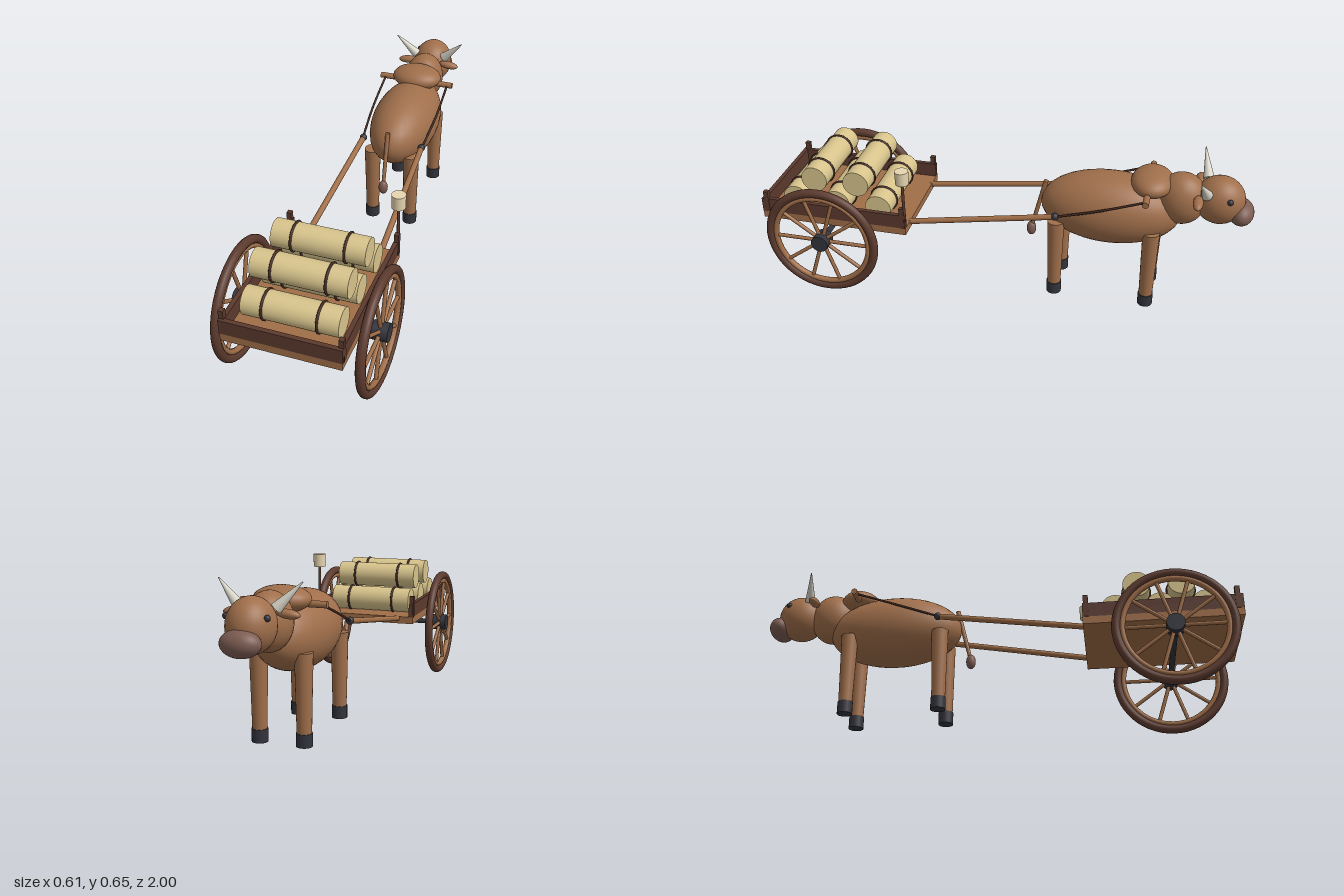
import * as THREE from 'three';

const mat = (name, color, extra = {}) => {
  const m = new THREE.MeshStandardMaterial({ color, ...extra });
  m.name = name;
  return m;
};

export function createModel() {
  const hide = mat('hide', 0xa06f4b);
  const wood = mat('wood', 0xa06e48);
  const darkWood = mat('darkWood', 0x5c3a2e);
  const iron = mat('iron', 0x33343c);
  const straw = mat('straw', 0xd8c48c);
  const lampShade = mat('lampShade', 0xe6d5b0);
  const horn = mat('horn', 0xd6d3c6);
  const muzzleSkin = mat('muzzleSkin', 0x7c5c52);
  const cord = mat('cord', 0x42281f);

  const model = new THREE.Group();
  model.name = 'oxCart';
  const cart = new THREE.Group();
  cart.name = 'cart';
  const ox = new THREE.Group();
  ox.name = 'ox';
  model.add(cart, ox);

  const add = (parent, name, geometry, material, x = 0, y = 0, z = 0) => {
    const mesh = new THREE.Mesh(geometry, material);
    mesh.name = name;
    mesh.position.set(x, y, z);
    parent.add(mesh);
    return mesh;
  };
  const box = (parent, name, material, w, h, d, x, y, z) =>
    add(parent, name, new THREE.BoxGeometry(w, h, d), material, x, y, z);
  const ball = (parent, name, material, rx, ry, rz, x, y, z) =>
    add(parent, name, new THREE.SphereGeometry(1, 32, 20).scale(rx, ry, rz), material, x, y, z);
  // Round bar running from point a (radius ra) to point b (radius rb)
  const bar = (parent, name, material, a, b, ra, rb = ra, sides = 16) => {
    const from = new THREE.Vector3(...a), to = new THREE.Vector3(...b);
    const dir = to.clone().sub(from);
    const mesh = add(parent, name, new THREE.CylinderGeometry(rb, ra, dir.length(), sides), material);
    mesh.position.copy(from).add(to).multiplyScalar(0.5);
    mesh.quaternion.setFromUnitVectors(new THREE.Vector3(0, 1, 0), dir.normalize());
    return mesh;
  };

  // Cart bed: open towards the ox
  box(cart, 'deck', wood, 0.452, 0.031, 0.626, 0, 0.3125, 0.683);
  box(cart, 'endBoard', darkWood, 0.456, 0.06, 0.018, 0, 0.358, 0.987);
  for (const s of [-1, 1]) {
    box(cart, 'sideBoard', darkWood, 0.018, 0.06, 0.626, s * 0.217, 0.358, 0.683);
    for (const z of [0.384, 0.975]) {
      box(cart, 'cornerPost', darkWood, 0.019, 0.094, 0.02, s * 0.2195, 0.375, z);
    }
  }

  // Axle and spoked wheels
  const wheelY = 0.246, wheelZ = 0.724;
  bar(cart, 'axle', iron, [-0.26, wheelY, wheelZ], [0.26, wheelY, wheelZ], 0.012);
  for (const s of [-1, 1]) {
    const wheel = new THREE.Group();
    wheel.name = s > 0 ? 'leftWheel' : 'rightWheel';
    wheel.position.set(s * 0.271, wheelY, wheelZ);
    cart.add(wheel);
    add(wheel, 'tyre', new THREE.TorusGeometry(0.227, 0.018, 14, 56).rotateY(Math.PI / 2), darkWood);
    add(wheel, 'innerRim', new THREE.TorusGeometry(0.203, 0.012, 10, 56).rotateY(Math.PI / 2), wood);
    bar(wheel, 'hub', iron, [-0.032, 0, 0], [0.032, 0, 0], 0.036, 0.036, 24);
    for (let i = 0; i < 10; i++) {
      const a = (i / 10) * Math.PI * 2;
      const at = r => [0, Math.sin(a) * r, Math.cos(a) * r];
      bar(wheel, 'spoke', wood, at(0.025), at(0.205), 0.008, 0.008, 10);
    }
  }

  // Stacked bundles, each tied with two straps
  const rolls = [[0.383, 0.5], [0.383, 0.68], [0.383, 0.86], [0.483, 0.59], [0.483, 0.77]];
  for (const [y, z] of rolls) {
    bar(cart, 'bundle', straw, [-0.183, y, z], [0.183, y, z], 0.055, 0.055, 32);
    for (const x of [-0.103, 0.103]) {
      add(cart, 'strap', new THREE.TorusGeometry(0.056, 0.005, 8, 32).rotateY(Math.PI / 2), cord, x, y, z);
    }
  }

  // Lantern on a pole
  bar(cart, 'lanternPole', darkWood, [0.22, 0.36, 0.373], [0.22, 0.55, 0.373], 0.006);
  bar(cart, 'lantern', lampShade, [0.22, 0.54, 0.373], [0.22, 0.597, 0.373], 0.027, 0.028, 24);

  // Shafts, pins, traces and yoke
  for (const s of [-1, 1]) {
    bar(cart, 'shaft', wood, [s * 0.155, 0.315, 0.4], [s * 0.132, 0.417, -0.235], 0.012);
    ball(cart, 'shaftPin', iron, 0.016, 0.016, 0.016, s * 0.132, 0.417, -0.23);
    const path = new THREE.CatmullRomCurve3([
      new THREE.Vector3(s * 0.134, 0.417, -0.23),
      new THREE.Vector3(s * 0.146, 0.475, -0.4),
      new THREE.Vector3(s * 0.145, 0.542, -0.585),
    ]);
    add(cart, 'trace', new THREE.TubeGeometry(path, 16, 0.005, 8), cord);
  }
  bar(cart, 'yoke', wood, [-0.168, 0.541, -0.585], [0.168, 0.541, -0.585], 0.013);

  // Ox body, neck and head
  ball(ox, 'body', hide, 0.143, 0.151, 0.285, 0, 0.416, -0.435);
  ball(ox, 'hump', hide, 0.11, 0.05, 0.085, 0, 0.556, -0.595);
  ball(ox, 'neck', hide, 0.086, 0.11, 0.1, 0, 0.495, -0.715);
  ball(ox, 'head', hide, 0.087, 0.1, 0.1, 0, 0.508, -0.862);
  ball(ox, 'muzzle', muzzleSkin, 0.074, 0.049, 0.05, 0, 0.463, -0.95);

  for (const s of [-1, 1]) {
    ball(ox, 'eye', iron, 0.012, 0.012, 0.012, s * 0.074, 0.543, -0.9);
    ball(ox, 'ear', hide, 0.045, 0.017, 0.02, s * 0.098, 0.538, -0.78).rotation.z = -s * 0.1;
    bar(ox, 'horn', horn, [s * 0.068, 0.56, -0.81], [s * 0.155, 0.651, -0.785], 0.022, 0.002, 20);
    for (const z of [-0.228, -0.614]) {
      const x = s * 0.088;
      bar(ox, 'leg', hide, [x, 0.068, z], [x, 0.37, z], 0.028, 0.035, 20);
      bar(ox, 'hoof', iron, [x, 0.02, z], [x, 0.071, z], 0.031, 0.031, 20);
    }
  }

  // Tail
  bar(ox, 'tail', hide, [0, 0.5, -0.168], [0, 0.275, -0.112], 0.01, 0.008, 12);
  ball(ox, 'tailTuft', muzzleSkin, 0.02, 0.032, 0.02, 0, 0.261, -0.11);

  return model;
}
